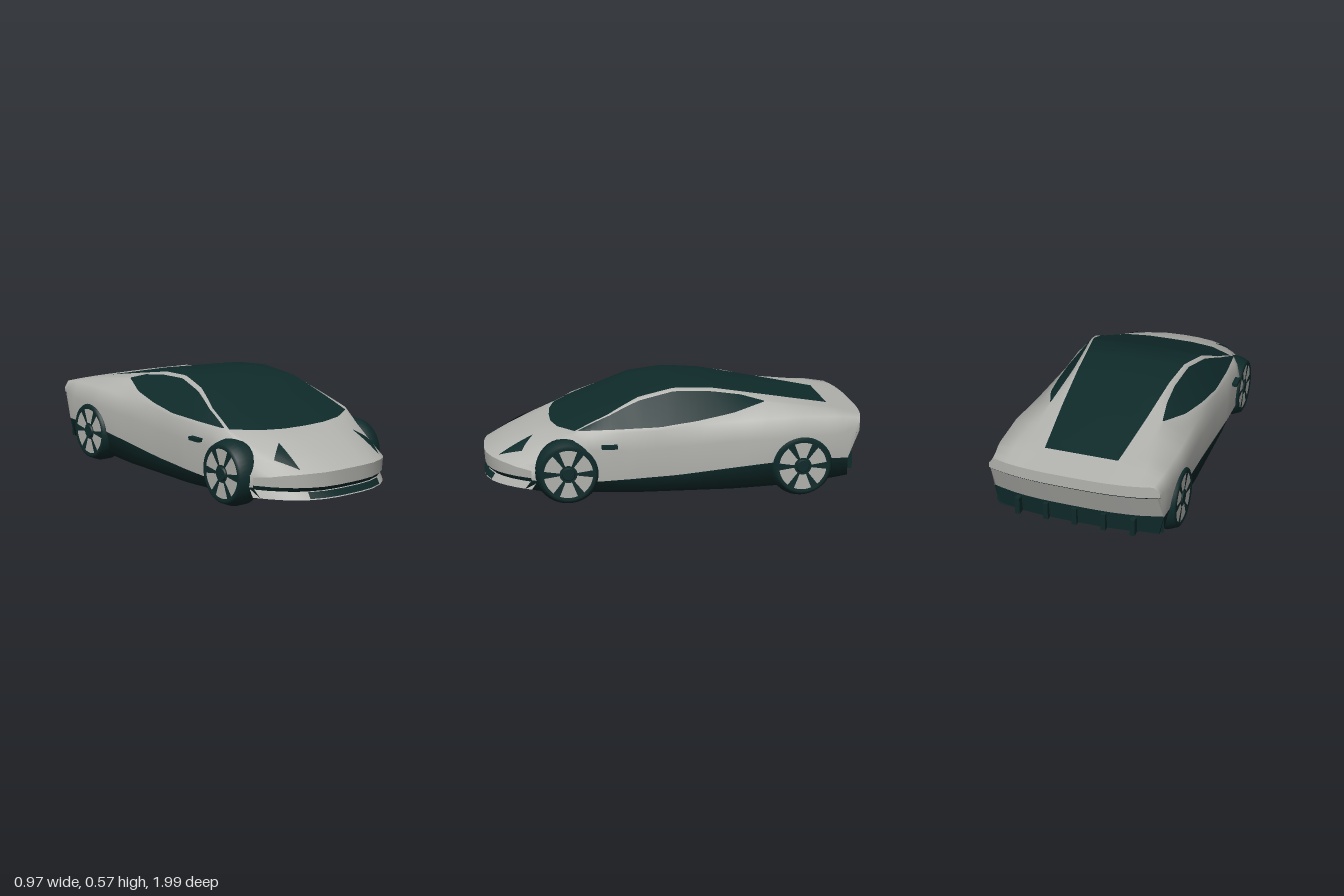
import * as THREE from 'three';

const silver = new THREE.MeshStandardMaterial({ color: 0xb2b2ae, side: THREE.DoubleSide });
silver.name = 'silver paint';
const dark = new THREE.MeshStandardMaterial({ color: 0x0f2a2a, side: THREE.DoubleSide });
dark.name = 'dark glass and trim';

// Lengthwise rails of the body: [station, x, y] from nose to tail
const centre = [[.99, 0, .215], [.9, 0, .265], [.73, 0, .335], [.64, 0, .362], [.4, 0, .455], [.2, 0, .53], [.08, 0, .56],
  [-.02, 0, .57], [-.2, 0, .557], [-.5, 0, .5], [-.83, 0, .435], [-1, 0, .405]];
const glassEdge = [[.99, .24, .21], [.85, .33, .28], [.73, .375, .335], [.64, .39, .375], [.4, .36, .45], [.2, .31, .525],
  [0, .27, .558], [-.2, .25, .548], [-.5, .225, .495], [-.83, .19, .435], [-1, .19, .405]];
const windowTop = [[.99, .29, .205], [.85, .36, .27], [.64, .408, .383], [.4, .375, .448], [.2, .33, .51], [0, .293, .545],
  [-.2, .28, .535], [-.35, .285, .515], [-.47, .3, .482], [-.83, .28, .435], [-1, .27, .405]];
const windowBottom = [[.99, .33, .2], [.85, .385, .262], [.64, .413, .38], [.4, .425, .385], [.1, .425, .39], [-.1, .405, .41],
  [-.3, .37, .44], [-.47, .305, .478], [-.83, .34, .435], [-1, .33, .405]];
const shoulder = [[.99, .37, .19], [.85, .41, .25], [.64, .44, .355], [.4, .445, .37], [.1, .437, .375], [-.1, .43, .395],
  [-.35, .43, .41], [-.6, .44, .425], [-.85, .43, .42], [-1, .41, .405]];
const flank = [[.99, .42, .18], [.85, .452, .24], [.64, .462, .29], [.3, .464, .28], [0, .455, .29], [-.3, .452, .31],
  [-.6, .461, .32], [-.85, .455, .33], [-1, .44, .37]];
const sill = [[.99, .42, .13], [.85, .45, .12], [.64, .456, .12], [.3, .458, .13], [0, .45, .14], [-.3, .45, .17],
  [-.6, .455, .2], [-.92, .442, .2], [-1, .43, .34]];
const floorEdge = [[.99, .4, .08], [.85, .4, .06], [.3, .43, .05], [-.3, .43, .05], [-.6, .42, .06], [-.92, .42, .1]];
const floorCentre = [[.99, 0, .08], [.6, 0, .05], [-.5, 0, .05], [-.92, 0, .1]];
// How far each section sweeps back towards its sides
const sweep = [[.99, 3.3, 0], [.64, 2, 0], [.2, .4, 0], [0, 0, 0], [-.83, 0, 0], [-1, -.6, 0]];

function at(rail, z) {
  let i = 0;
  while (i < rail.length - 2 && z < rail[i + 1][0]) i++;
  const [a, b] = [rail[i], rail[i + 1]];
  const t = THREE.MathUtils.clamp((a[0] - z) / (a[0] - b[0]), 0, 1);
  return [a[1] + (b[1] - a[1]) * t, a[2] + (b[2] - a[2]) * t];
}
const bowed = (x, y, z) => new THREE.Vector3(x, y, z - at(sweep, z)[0] * Math.abs(x) ** 3);
const mirrored = (half, z) => [
  ...half.slice(1).reverse().map(([x, y]) => bowed(-x, y, z)),
  ...half.map(([x, y]) => bowed(x, y, z)),
];

// Half cross-section, centre to sill
function section(z) {
  const c = at(centre, z), g = at(glassEdge, z);
  const between = [1 / 3, 2 / 3].map(t => [g[0] * t, c[1] + (g[1] - c[1]) * t * t]);
  return [c, ...between, g, ...[windowTop, windowBottom, shoulder, flank, sill].map(r => at(r, z))];
}

// Rows of points become a smooth skin, split into named meshes by the pick rule
function skin(group, rows, pick) {
  const n = rows[0].length, sets = {}, all = [];
  for (let i = 0; i < rows.length - 1; i++) for (let j = 0; j < n - 1; j++) {
    const a = i * n + j, tri = [a, a + 1, a + n, a + 1, a + n + 1, a + n];
    all.push(...tri);
    (sets[pick(i, j)] ??= []).push(...tri);
  }
  const base = new THREE.BufferGeometry().setFromPoints(rows.flat());
  base.setIndex(all);
  base.computeVertexNormals();
  for (const [name, index] of Object.entries(sets)) {
    const geo = base.clone().setIndex(index);
    const mesh = new THREE.Mesh(geo, /shell|fascia|lip|panel/i.test(name) ? silver : dark);
    mesh.name = name;
    group.add(mesh);
  }
}

function add(group, name, geo, mat, x, y, z) {
  const mesh = new THREE.Mesh(geo, mat);
  mesh.name = name;
  mesh.position.set(x, y, z);
  group.add(mesh);
  return mesh;
}

function surfaceY(x, z) {
  let z0 = z;
  for (let i = 0; i < 12; i++) z0 = Math.min(.99, z + at(sweep, z0)[0] * Math.abs(x) ** 3);
  const s = section(z0), ax = Math.abs(x);
  let i = 0;
  while (i < s.length - 2 && s[i + 1][0] < ax) i++;
  return THREE.MathUtils.mapLinear(ax, s[i][0], s[i + 1][0], s[i][1], s[i + 1][1]);
}

function makeWheel() {
  const wheel = new THREE.Group();
  const profile = [[0, .27], [.11, .27], [.169, .36], [.169, .42], [.15, .466], [.135, .474], [.13, .465], [0, .465]];
  const tyre = add(wheel, 'tyre', new THREE.LatheGeometry(profile.map(p => new THREE.Vector2(...p)), 40), dark, 0, 0, 0);
  tyre.rotation.z = -Math.PI / 2;
  for (let i = 0; i < 6; i++) {
    const wedge = new THREE.RingGeometry(.045, .125, 6, 1, i * Math.PI / 3 + .15, Math.PI / 3 - .3);
    add(wheel, 'rimSegment', wedge.rotateY(Math.PI / 2), silver, .468, 0, 0);
  }
  const hub = add(wheel, 'hub', new THREE.CylinderGeometry(.03, .036, .01, 20), dark, .468, 0, 0);
  hub.rotation.z = -Math.PI / 2;
  return wheel;
}

export function createModel() {
  const car = new THREE.Group();
  car.name = 'sportsCar';

  // Body shell with canopy and side windows
  const stations = [.99];
  for (const [from, to, count] of [[.99, .64, 10], [.64, -.47, 28], [-.47, -.83, 8], [-.83, -.92, 2], [-.92, -1, 3]])
    for (let i = 1; i <= count; i++) stations.push(from + (to - from) * i / count);
  const rows = stations.map(z => mirrored(section(z), z));
  skin(car, rows, (i, j) => {
    const z = (stations[i] + stations[i + 1]) / 2, h = Math.min(Math.abs(j - 8), Math.abs(j - 7));
    if (h < 3 && z < .64 && z > -.83) return 'canopyGlass';
    return h === 4 && z < .64 && z > -.47 ? 'sideWindows' : 'bodyShell';
  });

  // Nose and tail, each band listed from its first row to its last
  const edge = (z, y, z0 = z) => section(z).slice(0, 8).map(([x, sy]) => [x, y ?? sy, z0]);
  const bandRow = (z, y, z0) => mirrored(edge(z, y), z).map(p => p.setZ(p.z + z0 - z));
  const band = (name, z, a, b) => skin(car, [bandRow(z, ...a), bandRow(z, ...b)], () => name);
  band('frontLip', .99, [.08, .99], [.118, .965]);
  band('frontSlot', .99, [.118, .965], [.14, .985]);
  band('noseFascia', .99, [.14, .985], [undefined, .99]);
  band('tailLip', -1, [undefined, -1], [.345, -1]);
  band('tailSlot', -1, [.345, -1], [.332, -.985]);
  band('rearPanel', -1, [.332, -.985], [.2, -.935]);
  band('diffuserFace', -1, [.2, -.935], [.1, -.925]);

  // Dark grille in the middle of the front lip
  const grille = [[.086, .991], [.116, .972]].map(([y, z]) =>
    [-.23, -.15, -.07, 0, .07, .15, .23].map(x => new THREE.Vector3(x, y, z - 3.3 * Math.abs(x) ** 3)));
  skin(car, grille, () => 'frontGrille');

  // Underside and lower sides
  const under = [];
  for (let i = 0; i <= 24; i++) {
    const z = -.92 + 1.91 * i / 24;
    under.push(mirrored([floorCentre, floorEdge, sill].map(r => at(r, z)), z));
  }
  skin(car, under, () => 'underbody');
  for (const x of [-.3, -.15, 0, .15, .3])
    add(car, 'diffuserFin', new THREE.BoxGeometry(.025, .09, .13), dark, x, .145, -.885);

  for (const side of [1, -1]) {
    // Triangular headlights laid on the bonnet
    const lamp = [];
    for (let i = 0; i <= 6; i++) {
      const t = i / 6, row = [];
      for (let j = 0; j <= 4; j++) {
        const s = side > 0 ? j / 4 : 1 - j / 4;
        const x = .262 + t * (-.017 + .08 * s), z = .91 + t * (-.18 + .06 * s);
        row.push(new THREE.Vector3(side * x, surfaceY(x, z) + .006, z));
      }
      lamp.push(row);
    }
    skin(car, lamp, () => side > 0 ? 'leftHeadlight' : 'rightHeadlight');

    // Small door blades ahead of the side windows
    add(car, 'doorMirror', new THREE.BoxGeometry(.03, .018, .08), dark, side * .47, .306, .35);

    // Wheels
    for (const [name, z] of [['frontWheel', .56], ['rearWheel', -.65]]) {
      const wheel = makeWheel();
      wheel.name = name;
      wheel.position.set(0, .169, z);
      if (side < 0) wheel.rotation.y = Math.PI;
      car.add(wheel);
    }
  }
  return car;
}
